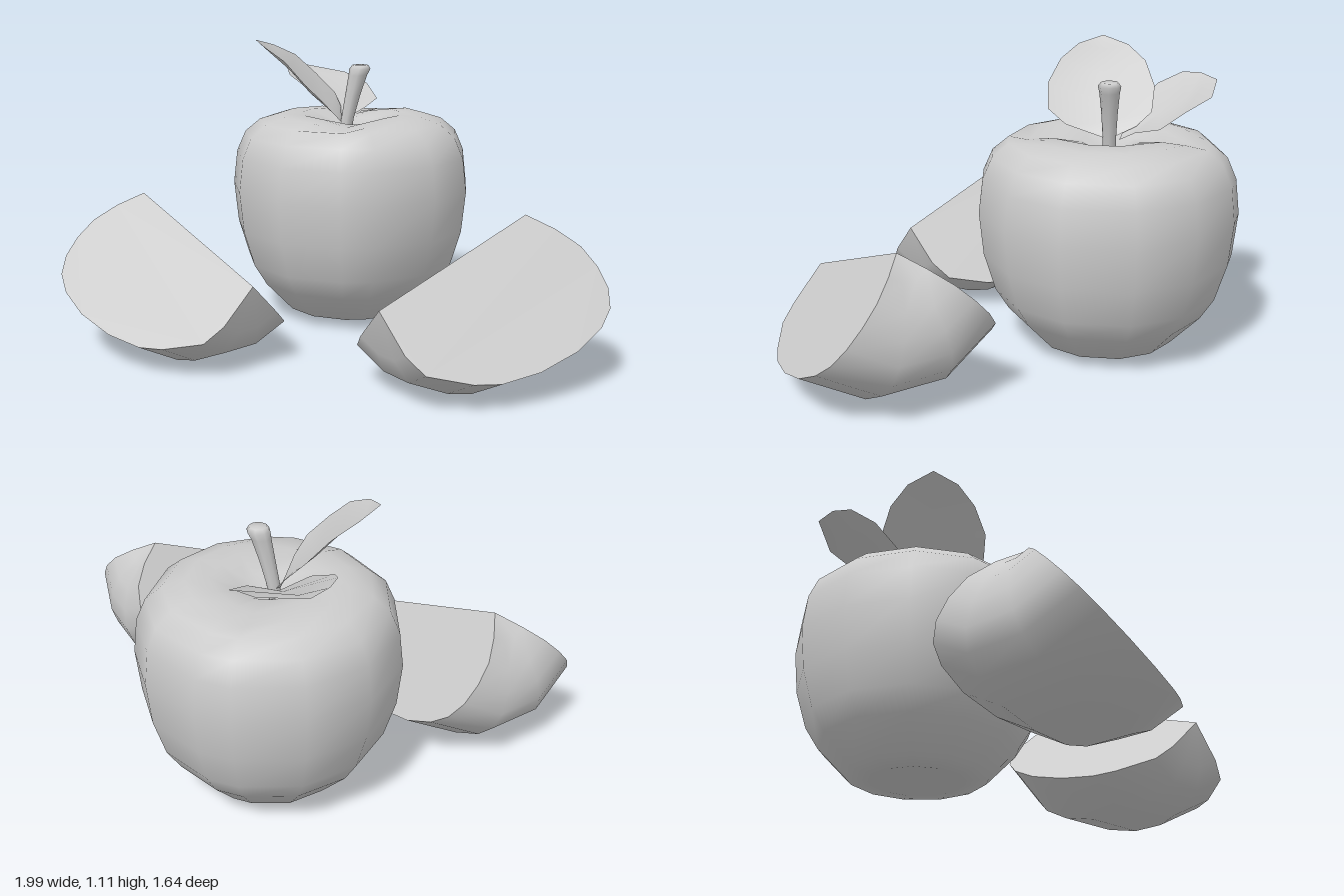
import * as THREE from 'three';
import { mergeVertices } from 'three/addons/utils/BufferGeometryUtils.js';

const fruitGrey = new THREE.MeshStandardMaterial({ color: 0xcccccc, side: THREE.DoubleSide });
fruitGrey.name = 'fruitGrey';

// Half outline of the apple as [radius, height], from base to stem dent
const PROFILE = [
  [0, 0.05], [0.17, 0.022], [0.26, 0.035], [0.37, 0.15], [0.42, 0.23], [0.463, 0.37], [0.48, 0.53],
  [0.465, 0.66], [0.43, 0.74], [0.37, 0.79], [0.29, 0.815], [0.2, 0.818], [0.1, 0.785], [0, 0.73],
];
const rad = THREE.MathUtils.degToRad;

function addMesh(parent, name, geometry) {
  const mesh = new THREE.Mesh(geometry, fruitGrey);
  mesh.name = name;
  parent.add(mesh);
  return mesh;
}

// Smooth surface through rows of points, all rows equally long
function skin(rows) {
  const n = rows[0].length;
  const index = [];
  for (let i = 0; i < rows.length - 1; i++) {
    for (let j = 0; j < n - 1; j++) {
      const a = i * n + j, c = a + n;
      index.push(a, a + 1, c, a + 1, c + 1, c);
    }
  }
  const geometry = new THREE.BufferGeometry();
  geometry.setAttribute('position', new THREE.Float32BufferAttribute(rows.flat(2), 3));
  geometry.setIndex(index);
  const merged = mergeVertices(geometry);
  merged.computeVertexNormals();
  return merged;
}

// Sweep the profile through a list of angles; dip lowers the rim at front and back
function sweep(angles, dip = 0) {
  return skin(angles.map((deg) => PROFILE.map(([r, y]) => {
    const s = Math.sin(rad(deg));
    const drop = y > 0.8 ? dip * s ** 16 : 0;
    return [r * Math.cos(rad(deg)), y - drop, r * s];
  })));
}

// Quarter slice: curved skin plus two flat cuts meeting along the core
function makeSlice(side, name, position) {
  const group = new THREE.Group();
  group.name = name;
  const angles = side > 0 ? [-90, -60, -30, 0] : [0, 30, 60, 90];
  addMesh(group, 'slicePeel', sweep(angles));
  const cut = new THREE.ShapeGeometry(new THREE.Shape(PROFILE.map(([r, y]) => new THREE.Vector2(r, y))));
  for (const deg of [angles[0], angles[3]]) {
    addMesh(group, 'sliceCutFace', cut).rotation.y = -rad(deg);
  }
  // Lay the slice on its peel, core edge rising outward
  const core = new THREE.Vector3(side * 0.711, 0.348, -0.61).normalize();
  const out = new THREE.Vector3(side * 0.645, -0.671, 0.369);
  out.addScaledVector(core, -out.dot(core)).normalize();
  const across = new THREE.Vector3().crossVectors(out, core);
  group.quaternion.setFromRotationMatrix(new THREE.Matrix4().makeBasis(out, core, across));
  group.position.copy(position).addScaledVector(core, -0.05);
  return group;
}

// Tapered bent stem built from rings
function stemGeometry() {
  const rings = [
    [0.015, 0.73, 0.024], [0.025, 0.8, 0.025], [0.045, 0.89, 0.03],
    [0.065, 0.97, 0.037], [0.073, 0.995, 0.042], [0.075, 1.01, 0.032], [0.075, 1.01, 0],
  ];
  const rows = [];
  for (let k = 0; k <= 8; k++) {
    const a = (k / 8) * Math.PI * 2;
    rows.push(rings.map(([x, y, r]) => [x + r * Math.cos(a), y, -0.335 + r * Math.sin(a)]));
  }
  return skin(rows);
}

export function createModel() {
  const model = new THREE.Group();
  model.name = 'appleWithSlices';

  // Whole apple, slightly uneven around
  const half = [16, 44, 74, 90, 120, 150, 180];
  const around = [...half, ...half.slice(0, -1).reverse().map((d) => 360 - d), 376];
  addMesh(model, 'apple', sweep(around, 0.03)).position.set(0.04, 0, -0.335);
  addMesh(model, 'stem', stemGeometry());

  // Front leaf: [x, edge height, middle height, back z, front z]
  const frontLeaf = [
    [0, 0.78, 0.78, -0.33, -0.33], [-0.01, 0.83, 0.8, -0.43, -0.17], [-0.04, 0.88, 0.83, -0.485, -0.1],
    [-0.12, 0.96, 0.9, -0.49, -0.09], [-0.2, 1.04, 0.99, -0.45, -0.13],
    [-0.28, 1.085, 1.06, -0.38, -0.19], [-0.335, 1.11, 1.11, -0.28, -0.28],
  ].map(([x, ye, ym, zb, zf]) => [[x, ye, zb], [x, ym, (zb + zf) / 2], [x, ye, zf]]);
  addMesh(model, 'frontLeaf', skin(frontLeaf));

  // Back leaf: left edge, middle and right edge from base to tip
  const base = [0, 0.78, -0.37], tip = [-0.2, 0.975, -0.72];
  addMesh(model, 'backLeaf', skin([
    [base, base, base],
    [[-0.13, 0.89, -0.42], [-0.02, 0.82, -0.42], [0.09, 0.83, -0.43]],
    [[-0.23, 0.95, -0.5], [-0.06, 0.87, -0.51], [0.13, 0.855, -0.52]],
    [[-0.26, 0.99, -0.59], [-0.11, 0.91, -0.6], [0.08, 0.91, -0.61]],
    [[-0.25, 0.99, -0.66], [-0.15, 0.95, -0.66], [-0.02, 0.945, -0.7]],
    [tip, tip, tip],
  ]));

  // Two mirrored quarter slices in front
  model.add(makeSlice(1, 'leftSlice', new THREE.Vector3(0.22, 0.32, 0.72)));
  model.add(makeSlice(-1, 'rightSlice', new THREE.Vector3(-0.23, 0.32, 0.48)));
  return model;
}
